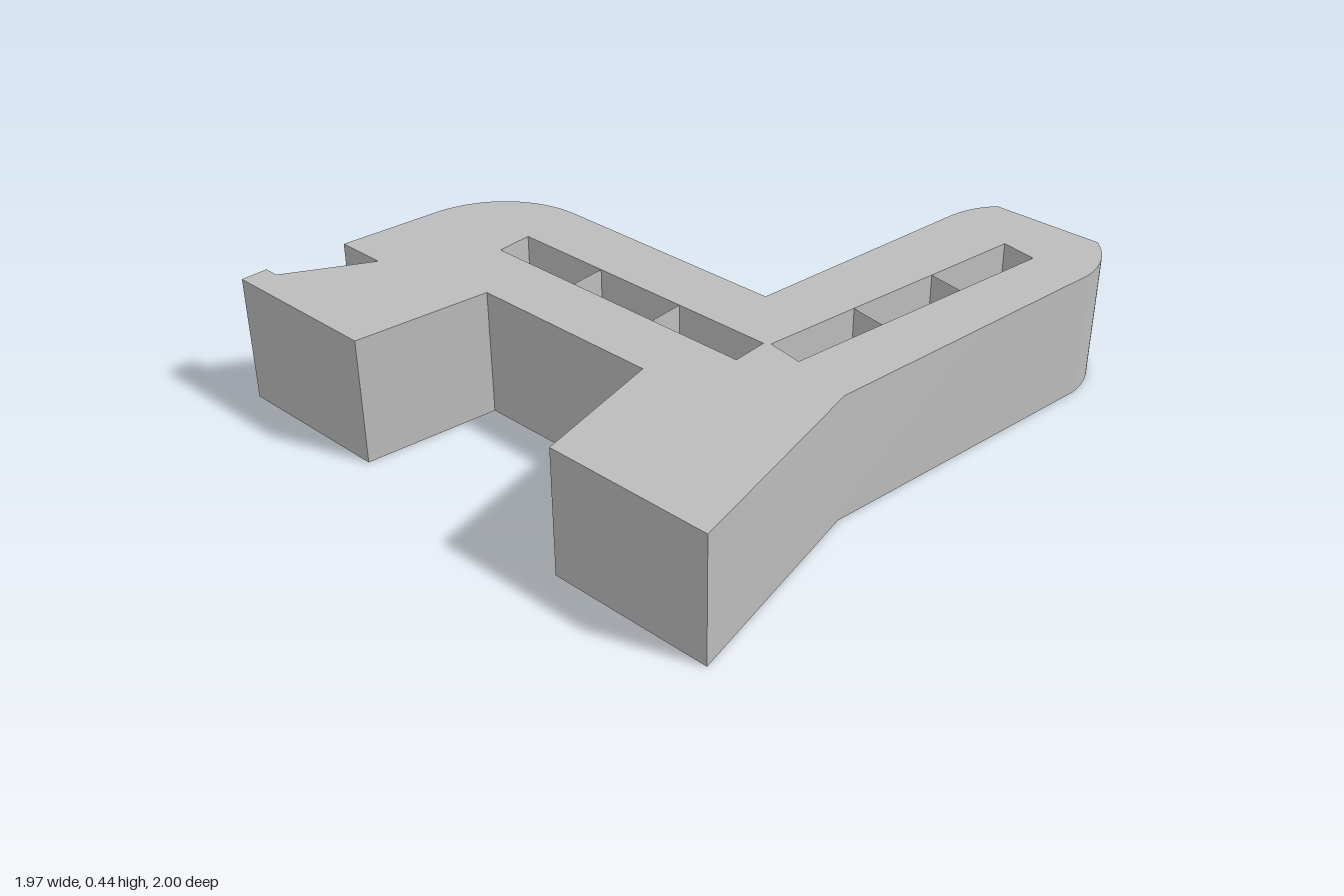
import * as THREE from 'three';
import { mergeGeometries, toCreasedNormals } from 'three/addons/utils/BufferGeometryUtils.js';

const H = 0.44;          // slab thickness
const LENGTH = 1.0;      // slot size at the top face
const WIDTH = 0.123;
const DRAFT = 0.024;     // how far each pocket narrows towards the bottom
const CELLS = 3;

// Bench end profile, drawn in (x, z)
function outlinePoints() {
  const p = new THREE.Path();
  p.moveTo(-0.985, 1);
  p.lineTo(-0.98, 0.91);
  p.lineTo(-0.757, 0.91);   // rear notch
  p.lineTo(-0.757, 0.64);
  p.lineTo(-0.93, 0.64);
  p.absarc(-0.52, 0.35, 0.36, Math.PI * 1.06, Math.PI * 1.5, false);   // rounded seat corner
  p.lineTo(0.31, -0.01);
  p.lineTo(0.427, -0.82);
  p.quadraticCurveTo(0.44, -0.93, 0.51, -1);    // tip of the backrest
  p.lineTo(0.895, -1);
  p.quadraticCurveTo(0.985, -0.92, 0.985, -0.79);
  p.lineTo(0.83, 0.27);
  p.lineTo(0.957, 1);       // foot
  p.lineTo(0.39, 1);
  p.lineTo(0.31, 0.545);
  p.lineTo(-0.35, 0.545);   // underside of the seat
  p.lineTo(-0.43, 1);
  return p.getPoints(16);
}

// Rectangle placed in a slot's own frame
function rect(slot, u0, u1, v0, v1) {
  const c = Math.cos(slot.angle), s = Math.sin(slot.angle);
  return [[u0, v0], [u1, v0], [u1, v1], [u0, v1]].map(
    ([u, v]) => new THREE.Vector2(slot.x + u * c - v * s, slot.z + u * s + v * c));
}

// Flat face with holes, facing up (dir 1) or down (dir -1)
function cap(points, holes, dir) {
  const place = (pts) => pts.map((p) => new THREE.Vector2(p.x, -dir * p.y));
  const shape = new THREE.Shape(place(points));
  shape.holes = holes.map((h) => new THREE.Path(place(h)));
  const geo = new THREE.ShapeGeometry(shape);
  geo.rotateX(-dir * Math.PI / 2);
  if (dir > 0) geo.translate(0, H, 0);
  geo.deleteAttribute('uv');
  return geo.toNonIndexed();
}

// Wall between a bottom loop and a top loop, facing outward or inward
function wall(bottom, top, outward) {
  const flip = (THREE.ShapeUtils.area(bottom) < 0) !== outward;
  const pos = [];
  bottom.forEach((_, i) => {
    const j = (i + 1) % bottom.length;
    const [a, b] = flip ? [j, i] : [i, j];
    const p = [bottom[a].x, 0, bottom[a].y], q = [bottom[b].x, 0, bottom[b].y];
    const r = [top[b].x, H, top[b].y], s = [top[a].x, H, top[a].y];
    pos.push(...p, ...q, ...r, ...p, ...r, ...s);
  });
  const geo = new THREE.BufferGeometry();
  geo.setAttribute('position', new THREE.Float32BufferAttribute(pos, 3));
  geo.computeVertexNormals();
  return toCreasedNormals(geo, 0.4);
}

export function createModel() {
  const group = new THREE.Group();
  group.name = 'benchEnd';
  const grey = new THREE.MeshStandardMaterial({ color: 0xbcbcbc });
  grey.name = 'grey';

  const add = (name, geo) => {
    const mesh = new THREE.Mesh(geo, grey);
    mesh.name = name;
    group.add(mesh);
  };

  const slots = [
    { name: 'seatPockets', x: -0.02, z: 0.267, angle: 0 },
    { name: 'backrestPockets', x: 0.647, z: -0.288, angle: THREE.MathUtils.degToRad(100) },
  ];
  const topHoles = [], bottomHoles = [];

  // Rows of drafted pockets that meet in thin ribs at the top
  for (const slot of slots) {
    const w = WIDTH / 2, step = LENGTH / CELLS, walls = [];
    topHoles.push(rect(slot, -LENGTH / 2, LENGTH / 2, -w, w));
    for (let i = 0; i < CELLS; i++) {
      const u0 = -LENGTH / 2 + i * step, u1 = u0 + step;
      const low = rect(slot, u0 + DRAFT, u1 - DRAFT, -w + DRAFT, w - DRAFT);
      bottomHoles.push(low);
      walls.push(wall(low, rect(slot, u0, u1, -w, w), false));
    }
    add(slot.name, mergeGeometries(walls));
  }

  const outline = outlinePoints();
  add('topFace', cap(outline, topHoles, 1));
  add('bottomFace', cap(outline, bottomHoles, -1));
  add('outerWall', wall(outline, outline, true));
  return group;
}
